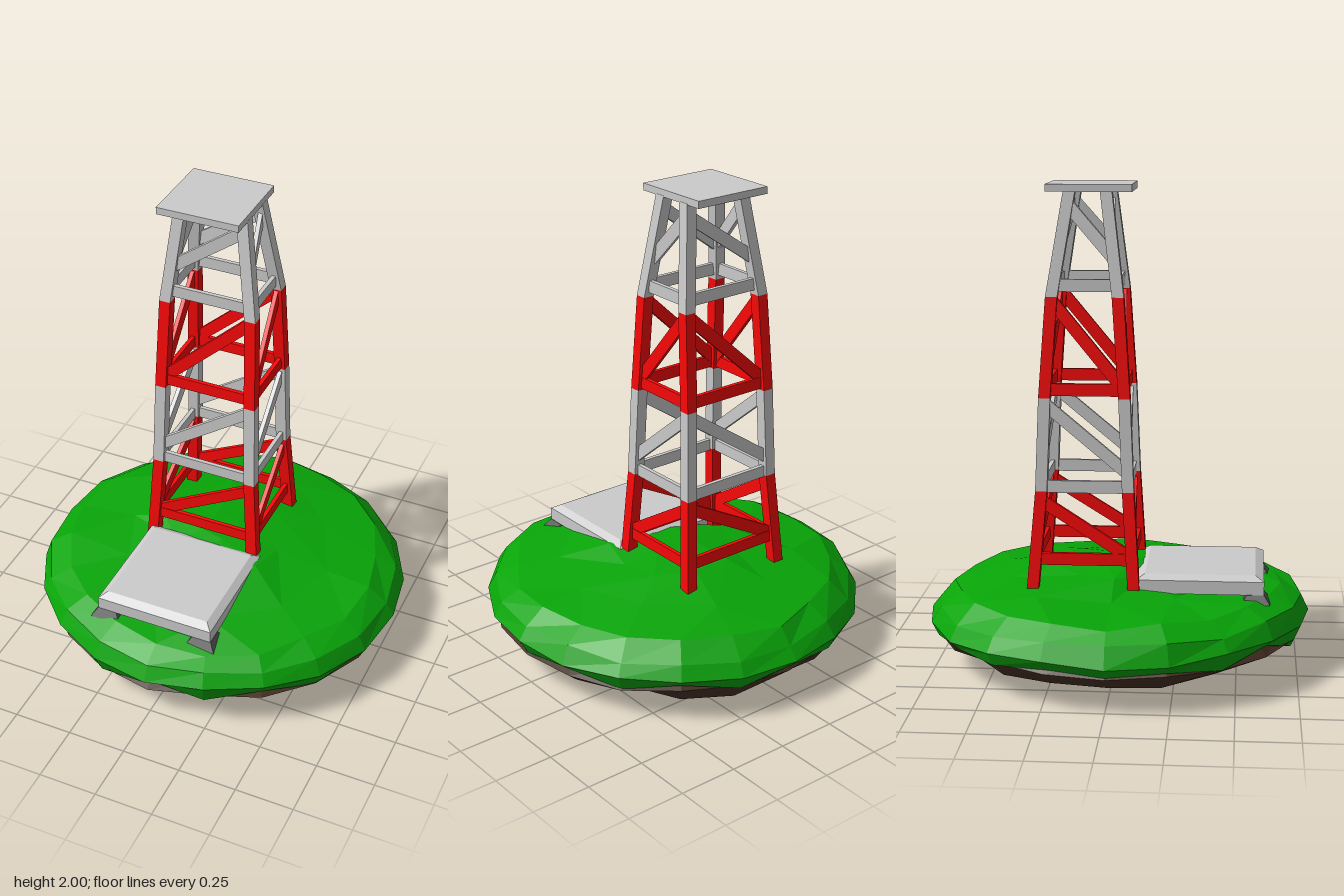
import * as THREE from 'three';

const material = (color) =>
  new THREE.MeshStandardMaterial({ color, flatShading: true, side: THREE.DoubleSide });
const GREY = material(0xcccccc);
const RED = material(0xfa0808);
const GREEN = material(0x08a508);
const BROWN = material(0x4a3426);
const DARK = material(0x585858);

// Skin over rings of points, listed bottom to top, each counter-clockwise from above.
function loft(name, rings, mat, capBottom = true, capTop = true) {
  const pos = [];
  const tri = (...pts) => pts.forEach((p) => pos.push(...p));
  const n = rings[0].length;
  const centre = (r) => [0, 1, 2].map((k) => r.reduce((s, p) => s + p[k], 0) / n);
  const last = rings[rings.length - 1];
  for (let i = 0; i < n; i++) {
    const j = (i + 1) % n;
    for (let k = 0; k < rings.length - 1; k++) {
      const a = rings[k], b = rings[k + 1];
      tri(a[i], a[j], b[j]);
      tri(a[i], b[j], b[i]);
    }
    if (capBottom) tri(centre(rings[0]), rings[0][j], rings[0][i]);
    if (capTop) tri(centre(last), last[i], last[j]);
  }
  const g = new THREE.BufferGeometry();
  g.setAttribute('position', new THREE.Float32BufferAttribute(pos, 3));
  g.computeVertexNormals();
  const mesh = new THREE.Mesh(g, mat);
  mesh.name = name;
  return mesh;
}

// Rectangular ring with half sizes hx, hz
const rect = (x, y, z, hx, hz) =>
  [[x + hx, y, z + hz], [x + hx, y, z - hz], [x - hx, y, z - hz], [x - hx, y, z + hz]];

// Flat bar between two points
function bar(name, a, b, height, depth, mat) {
  const from = new THREE.Vector3(...a), to = new THREE.Vector3(...b);
  const mesh = new THREE.Mesh(new THREE.BoxGeometry(depth, height, from.distanceTo(to)), mat);
  mesh.position.copy(from).lerp(to, 0.5);
  mesh.lookAt(to);
  mesh.name = name;
  return mesh;
}

// Floating island: grass cap over an earth base
function createIsland() {
  const island = new THREE.Group();
  island.name = 'island';
  let seed = 11;
  const noise = () => {
    seed = (seed * 16807) % 2147483647;
    return (seed / 2147483647) * 2 - 1;
  };
  // step merges neighbouring points into larger facets, tilt raises the front,
  // zigzag makes a jagged hem that is strongest at the front
  const ring = (r, y, { jr = 0, jy = 0, step = 1, tilt = 0, zigzag = 0 }) => {
    const pts = [];
    for (let i = 0; i < 20; i++) {
      if (i % step) { pts.push(pts[i - 1]); continue; }
      const a = (i / 20) * Math.PI * 2;
      const rr = r + noise() * jr;
      const z = -Math.sin(a) * rr;
      const hem = zigzag * (0.3 + Math.max(0, z)) * (i % 2 ? 1 : -1);
      pts.push([Math.cos(a) * rr, Math.max(0, y + noise() * jy + tilt * z + hem), z]);
    }
    return pts;
  };
  island.add(loft('earth', [
    ring(0.26, 0.026, { jr: 0.04, jy: 0.01, step: 4, tilt: -0.08 }),
    ring(0.5, 0.042, { jr: 0.05, jy: 0.018, step: 2, tilt: -0.04 }),
    ring(0.68, 0.09, { jr: 0.03, jy: 0.018, tilt: 0.025 }),
    ring(0.765, 0.145, { jr: 0.008, jy: 0.012, tilt: 0.01 }),
    ring(0.72, 0.21, {}),
  ], BROWN, true, false));
  island.add(loft('grass', [
    ring(0.71, 0.18, { jy: 0.01 }),
    ring(0.765, 0.155, { jr: 0.008, jy: 0.01, zigzag: 0.03, tilt: 0.01 }),
    ring(0.8, 0.205, { jy: 0.015, tilt: 0.025 }),
    ring(0.765, 0.27, { jr: 0.008, jy: 0.012, tilt: 0.02 }),
    ring(0.685, 0.325, { jr: 0.02, jy: 0.012, tilt: 0.005 }),
    ring(0.47, 0.358, { jr: 0.05, jy: 0.014, step: 2 }),
    ring(0.25, 0.402, { jr: 0.04, jy: 0.012, step: 2 }),
    ring(0.08, 0.426, { jr: 0.02, jy: 0.004, step: 4 }),
  ], GREEN, false, true));
  return island;
}

// Landing slab with chamfered top, on splayed feet
function createLandingPad() {
  const pad = new THREE.Group();
  pad.name = 'landingPad';
  const x = -0.043, z = 0.35;
  pad.add(loft('slab', [
    rect(x, 0.355, z, 0.257, 0.26),
    rect(x, 0.41, z, 0.257, 0.26),
    rect(x, 0.43, z, 0.227, 0.225),
  ], GREY));
  for (const sx of [-1, 1]) for (const sz of [-1, 1]) {
    const fx = x + sx * 0.217, fz = z + sz * 0.225;
    pad.add(loft('padFoot', [
      rect(fx, 0.32, fz, 0.066, 0.06),
      rect(fx, 0.356, fz, 0.042, 0.035),
    ], DARK));
  }
  return pad;
}

// Lattice tower: four tapering sections, alternately red and grey
function createTower() {
  const tower = new THREE.Group();
  tower.name = 'tower';
  const t = 0.024; // half leg thickness
  // height, centre x, centre z, outer half width, outer half depth
  const levels = [
    [0.37, -0.058, -0.124, 0.26, 0.229],
    [0.77, -0.058, -0.119, 0.234, 0.2],
    [1.15, -0.057, -0.12, 0.224, 0.185],
    [1.555, -0.056, -0.119, 0.21, 0.157],
    [1.975, -0.061, -0.11, 0.156, 0.097],
  ];
  const beamHeights = [0.49, 0.787, 1.182, 1.6];
  const diagonals = [[0.495, 0.73], [0.845, 1.125], [1.185, 1.54], [1.705, 1.92]];

  // Centre of the leg on side (sx, sz) at a height
  const legAt = (sx, sz, y) => {
    let i = 0;
    while (i < 3 && y > levels[i + 1][0]) i++;
    const a = levels[i], b = levels[i + 1], f = (y - a[0]) / (b[0] - a[0]);
    const [, cx, cz, hx, hz] = a.map((v, k) => v + (b[k] - v) * f);
    return [cx + sx * (hx - t), y, cz + sz * (hz - t)];
  };
  // Faces as [low corner, high corner] of the diagonal
  const faces = [
    [[-1, 1], [1, 1]], [[-1, -1], [1, -1]],
    [[1, 1], [1, -1]], [[-1, 1], [-1, -1]],
  ];

  for (let s = 0; s < 4; s++) {
    const section = new THREE.Group();
    section.name = 'towerSection' + (s + 1);
    const mat = s % 2 ? GREY : RED;
    for (const sx of [-1, 1]) for (const sz of [-1, 1]) {
      const ends = [levels[s][0], levels[s + 1][0]].map((y) => {
        const p = legAt(sx, sz, y);
        return rect(p[0], y, p[2], t, t);
      });
      section.add(loft('leg', ends, mat));
    }
    for (const [low, high] of faces) {
      const y = beamHeights[s], [y0, y1] = diagonals[s];
      section.add(bar('crossBeam', legAt(...low, y), legAt(...high, y), 0.05, 0.018, mat));
      section.add(bar('diagonalBrace', legAt(...low, y0), legAt(...high, y1), 0.05, 0.018, mat));
    }
    tower.add(section);
  }

  const top = new THREE.Mesh(new THREE.BoxGeometry(0.348, 0.03, 0.345), GREY);
  top.position.set(-0.08, 1.985, -0.103);
  top.name = 'topPlatform';
  tower.add(top);
  return tower;
}

export function createModel() {
  const model = new THREE.Group();
  model.name = 'towerIsland';
  model.add(createIsland(), createLandingPad(), createTower());
  return model;
}
